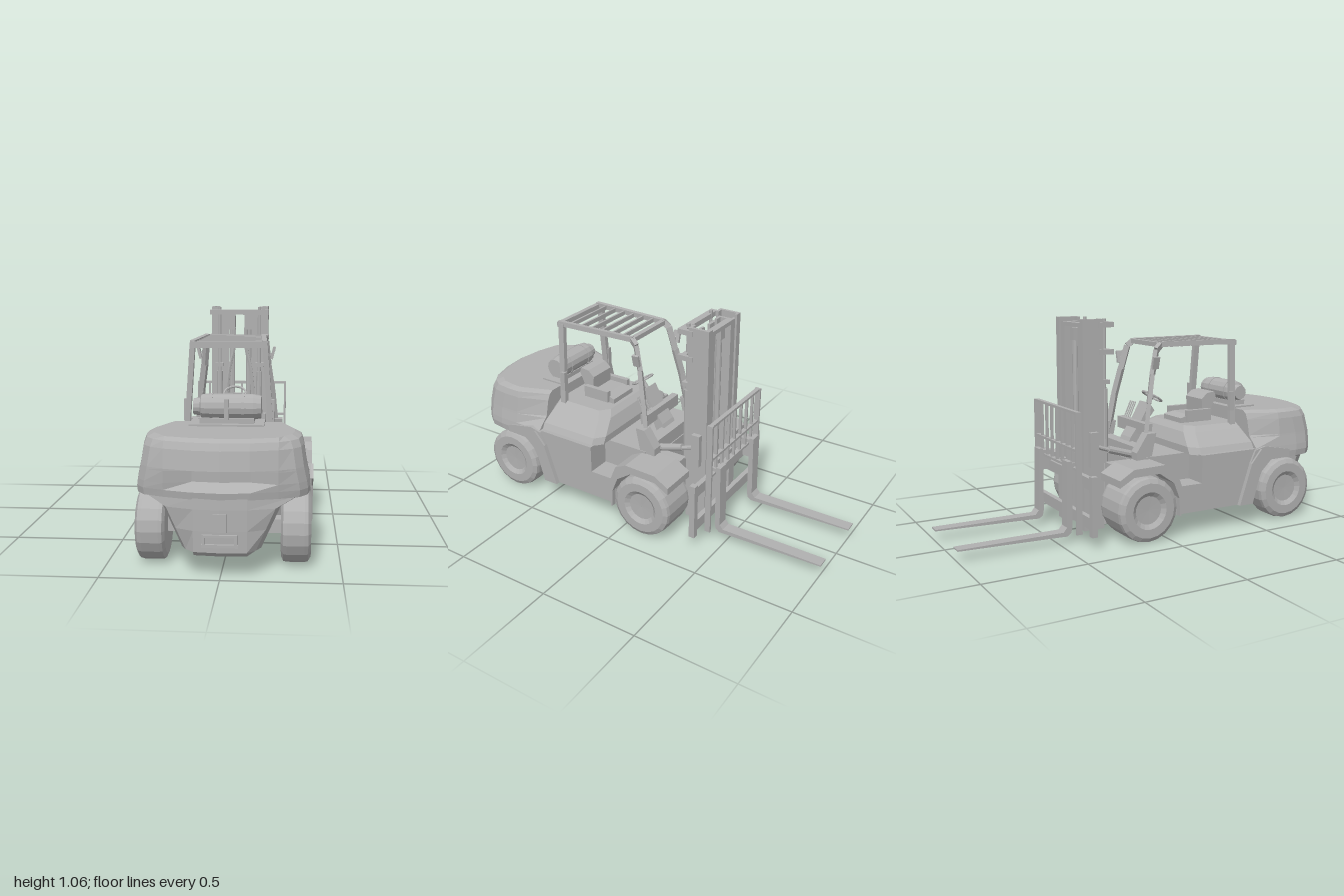
import * as THREE from 'three';

export function createModel() {
  const model = new THREE.Group();
  const grey = new THREE.MeshStandardMaterial({ color: 0xb0b0b0 });
  grey.name = 'plain grey';
  const V = (p) => new THREE.Vector3(...p);

  // Every part is faceted
  function add(name, geometry) {
    const g = geometry.index ? geometry.toNonIndexed() : geometry;
    g.computeVertexNormals();
    const mesh = new THREE.Mesh(g, grey);
    mesh.name = name;
    model.add(mesh);
    return mesh;
  }
  // Box given by its limits; x limits may come in either order
  function box(name, x0, x1, y0, y1, z0, z1) {
    const g = new THREE.BoxGeometry(Math.abs(x1 - x0), y1 - y0, Math.abs(z1 - z0));
    return add(name, g.translate((x0 + x1) / 2, (y0 + y1) / 2, (z0 + z1) / 2));
  }
  // Square bar or round rod between two points
  function between(name, a, b, geometryOf) {
    const p = V(a), q = V(b), d = q.clone().sub(p);
    const mesh = add(name, geometryOf(d.length()));
    mesh.position.copy(p).add(q).multiplyScalar(0.5);
    mesh.quaternion.setFromUnitVectors(new THREE.Vector3(0, 1, 0), d.normalize());
  }
  const bar = (name, a, b, w, d = w) => between(name, a, b, (l) => new THREE.BoxGeometry(w, l, d));
  const rod = (name, a, b, r, n = 10) => between(name, a, b, (l) => new THREE.CylinderGeometry(r, r, l, n));
  // Side profile of [z, y] points, extruded from x0 to x1
  function profile(name, pts, x0, x1) {
    const shape = new THREE.Shape(pts.map((p) => new THREE.Vector2(...p)));
    const g = new THREE.ExtrudeGeometry(shape, { depth: Math.abs(x1 - x0), bevelEnabled: false });
    return add(name, g.rotateY(-Math.PI / 2).translate(Math.max(x0, x1), 0, 0));
  }
  // Loft through levels { y, half }, half = [x, z] points from the back centre along +x
  function loft(name, levels) {
    const rings = levels.map(({ y, half }) => {
      const left = half.filter((p) => p[0] > 0).reverse().map(([x, z]) => [-x, z]);
      return [...half, ...left].map(([x, z]) => [x, y, z]);
    });
    const n = rings[0].length, pos = [];
    const tri = (a, b, c) => pos.push(...a, ...b, ...c);
    const centre = (r) => [0, r[0][1], (r[0][2] + r[(n - 1) >> 1][2]) / 2];
    const top = rings[rings.length - 1], low = rings[0];
    for (let j = 0; j < n; j++) {
      const k = (j + 1) % n;
      for (let i = 0; i + 1 < rings.length; i++) {
        const r = rings[i], s = rings[i + 1];
        tri(r[j], r[k], s[k]);
        tri(r[j], s[k], s[j]);
      }
      tri(centre(top), top[j], top[k]);
      tri(centre(low), low[k], low[j]);
    }
    const g = new THREE.BufferGeometry();
    g.setAttribute('position', new THREE.Float32BufferAttribute(pos, 3));
    return add(name, g);
  }
  const both = (fn) => [1, -1].forEach(fn);

  // Counterweight with a hand slot; each level is y, half width, back z, slot depth, front half width
  const cw = [[.33, .366, .985, 0, .366], [.36, .368, .99, 0, .368], [.39, .363, .993, .065, .363],
    [.44, .352, .995, .065, .31], [.45, .35, .995, 0, .3], [.53, .338, .98, 0, .28], [.56, .328, .965, 0, .265],
    [.574, .3, .94, 0, .24]];
  loft('counterweight', cw.map(([y, w, b, cut, front]) => ({
    y,
    half: [[0, b - cut], [.12, b - .012 - cut], [.235, b - .045], [w - .045, b - .08],
      [w - .012, b - .125], [w, b - .2], [w, .69], [front, .53]],
  })));
  // Lower back, narrowing between the rear wheels
  const skirt = [[.09, .13, .965], [.11, .165, .985], [.2, .205, .988], [.29, .245, .988], [.335, .33, .985]];
  loft('counterweightSkirt', skirt.map(([y, w, b]) => ({
    y, half: [[0, b], [.11, b - .01], [w - .02, b - .045 - (w > .3 ? .03 : 0)], [w, w > .3 ? .87 : .9]],
  })));
  box('hitchPlate', -.028, .028, .2, .275, .97, .995);
  box('hitchLowerLip', -.075, .075, .135, .148, .96, .996);
  box('hitchUpperLip', -.06, .06, .178, .188, .96, .996);
  both((s) => box('hitchCheek', s * .06, s * .072, .14, .188, .95, .994));

  // Chassis, steps and floor
  box('rearFrame', -.17, .17, .13, .4, .4, .9);
  box('chassis', -.36, .36, .11, .25, .05, .48);
  box('chassisSide', -.36, .36, .25, .39, .2, .55);
  box('floor', -.24, .24, .25, .385, -.05, .21);
  box('frontFrame', -.18, .18, .11, .36, -.09, .06);
  both((s) => box('frontFrameArm', s * .13, s * .185, .11, .36, -.22, -.09));
  box('rearAxle', -.26, .26, .13, .19, .69, .76);

  // Engine hood
  const hoodLevel = (y, w, b, f) => ({ y, half: [[0, b], [w - .04, b], [w, b - .03], [w, f + .04], [w - .05, f]] });
  loft('hood', [hoodLevel(.385, .34, .56, .17), hoodLevel(.42, .32, .56, .17),
    hoodLevel(.48, .235, .55, .2), hoodLevel(.505, .19, .55, .23)]);

  // Fenders and wheels; the driven front wheels are wider
  const wheelProfile = (w) => [[.001, -w], [.135, -w], [.157, .01 - w], [.16, .025 - w], [.16, w - .028],
    [.156, w - .012], [.135, w], [.092, w], [.07, w - .016], [.001, w - .018]].map((p) => new THREE.Vector2(...p));
  both((s) => {
    profile('rearFender', [[.74, .33], [.74, .37], [.58, .4], [.52, .385], [.49, .32], [.42, .11], [.5, .11],
      [.56, .27], [.62, .327]], s * .17, s * .372);
    profile('frontFender', [[.065, .11], [.065, .26], [.03, .345], [-.03, .375], [-.2, .37], [-.275, .325],
      [-.275, .29], [-.2, .332], [-.06, .335], [.02, .28], [.052, .2], [.055, .11]], s * .19, s * .387);
    profile('fenderFlare', [[.5, .11], [.42, .11], [.49, .32], [.55, .39], [.62, .34], [.55, .29]], s * .35, s * .383);
    for (const [name, x0, x1, z] of [['rearWheel', .245, .372, .725], ['frontWheel', .175, .39, -.115]]) {
      const g = new THREE.LatheGeometry(wheelProfile((x1 - x0) / 2), 20);
      add(name, g.rotateZ(-s * Math.PI / 2).translate(s * (x0 + x1) / 2, .16, z));
    }
  });

  // Overhead guard
  both((s) => {
    bar('guardRearPost', [s * .2, .4, .49], [s * .162, .925, .505], .024, .032);
    bar('guardSideRail', [s * .162, .925, .525], [s * .14, .925, .085], .022, .025);
    const path = [[.14, .925, .09], [.148, .9, .06], [.16, .78, .03], [.18, .64, 0], [.2, .42, -.035]];
    for (let i = 0; i + 1 < path.length; i++) {
      const at = ([x, y, z]) => [s * x, y, z];
      bar('guardFrontPost', at(path[i]), at(path[i + 1]), .022, .03);
    }
    profile('pillarFoot', [[-.02, .36], [.01, .5], [-.04, .5], [-.1, .41], [-.1, .36]], s * .18, s * .235);
    bar('mirrorArm', [s * .155, .82, .04], [s * .185, .84, .04], .01);
    bar('mirror', [s * .178, .81, .035], [s * .193, .87, .035], .014, .035);
    box('postBracket', s * .18, s * .205, .57, .67, .475, .5);
  });
  box('guardRearBeam', -.172, .172, .905, .932, .505, .53);
  box('guardFrontBeam', -.145, .145, .912, .935, .075, .1);
  for (let i = 0; i < 6; i++) {
    const z = .15 + i * .062;
    bar('guardSlat', [-.15, .922, z], [.15, .922, z], .022, .01);
  }

  // Gas tank on its cradle
  const tank = [[.001, -.15], [.036, -.15], [.04, -.12], [.053, -.115], [.057, -.095], [.057, .115], [.05, .15],
    [.001, .15]].map((p) => new THREE.Vector2(...p));
  add('gasTank', new THREE.LatheGeometry(tank, 14).rotateZ(-Math.PI / 2).translate(0, .65, .58));
  for (const x of [-.07, .07]) {
    add('tankStrap', new THREE.CylinderGeometry(.06, .06, .012, 14).rotateZ(Math.PI / 2).translate(x, .65, .58));
  }
  box('tankClasp', -.01, .01, .6, .69, .62, .642);
  box('tankCradle', -.12, .12, .58, .605, .54, .63);
  box('tankBase', -.165, .165, .565, .582, .5, .66);

  // Seat
  profile('seatCushion', [[.44, .5], [.44, .545], [.3, .545], [.25, .53], [.25, .5]], -.085, .085);
  profile('seatBack', [[.43, .53], [.475, .63], [.465, .655], [.42, .65], [.385, .62], [.39, .54]], -.075, .075);
  both((s) => box('seatBolster', s * .075, s * .1, .51, .57, .28, .43));

  // Dash, steering and levers
  profile('dash', [[.06, .52], [.11, .58], [.08, .62], [.03, .53], [-.03, .45], [-.06, .385], [0, .385]], -.05, .05);
  box('cowl', -.19, .19, .36, .43, -.085, -.02);
  bar('dashPanel', [-.15, .5, .02], [.15, .5, .02], .06, .035);
  rod('steeringColumn', [0, .5, .03], [0, .645, .125], .01);
  const wheel = add('steeringWheel', new THREE.TorusGeometry(.055, .006, 6, 16).rotateX(Math.PI / 2));
  wheel.position.set(0, .645, .125);
  wheel.rotation.x = .55;
  bar('steeringSpoke', [-.053, .645, .125], [.053, .645, .125], .008);
  for (let i = 0; i < 4; i++) rod('lever', [.075 + i * .018, .5, .02], [.075 + i * .018, .61, .07], .004, 6);
  both((s) => bar('pedal', [s * .05, .39, .08], [s * .05, .42, .05], .03, .008));

  // Mast: outer and inner channels, lift cylinders, hoses and tilt cylinders
  both((s) => {
    box('outerWeb', s * .135, s * .15, .03, 1.06, -.345, -.235);
    box('outerFlange', s * .105, s * .15, .03, 1.06, -.25, -.235);
    box('outerFlange', s * .115, s * .15, .03, 1.06, -.345, -.332);
    box('innerWeb', s * .092, s * .105, .05, 1.04, -.335, -.255);
    box('innerFlange', s * .06, s * .105, .05, 1.04, -.268, -.255);
    box('innerFlange', s * .075, s * .125, .05, 1.04, -.335, -.322);
    rod('liftCylinder', [s * .105, .04, -.208], [s * .105, .72, -.208], .016);
    rod('liftRod', [s * .105, .7, -.208], [s * .105, 1.06, -.208], .009);
    box('cylinderClamp', s * .085, s * .13, .745, .765, -.235, -.19);
    rod('carriageCylinder', [s * .045, .1, -.29], [s * .045, .98, -.29], .015);
    box('chainHead', s * .025, s * .065, .95, 1.01, -.31, -.27);
    const hose = [[.03, .95], [.032, .84], [.055, .74], [.07, .6], [.07, .3]].map(([x, y]) => V([s * x, y, -.25]));
    add('hose', new THREE.TubeGeometry(new THREE.CatmullRomCurve3(hose), 14, .01, 6));
    box('mastBracket', s * .15, s * .175, .35, .52, -.32, -.275);
    rod('tiltCylinder', [s * .165, .38, -.05], [s * .165, .43, -.22], .018);
    rod('tiltRod', [s * .165, .42, -.2], [s * .165, .455, -.3], .01);
    box('crossbarArm', s * .135, s * .155, 1.02, 1.045, -.26, -.18);
    box('crossbarArm', s * .135, s * .155, .89, .915, -.26, -.18);
    box('topPlate', s * .025, s * .135, .94, 1.02, -.25, -.235);
  });
  box('topCrossbar', -.155, .155, 1.02, 1.045, -.215, -.18);
  box('midCrossbar', -.155, .155, .89, .915, -.215, -.19);
  box('mastTopTie', -.1, .1, 1.02, 1.04, -.335, -.3);
  box('mastLowerTie', -.15, .15, .36, .42, -.25, -.225);
  box('mastFoot', -.15, .15, .04, .13, -.26, -.235);

  // Carriage and load backrest
  for (const y of [.09, .28]) box('carriageBar', -.335, .335, y, y + .055, -.395, -.37);
  both((s) => {
    box('carriageUpright', s * .045, s * .075, .07, .36, -.372, -.34);
    box('carriageEnd', s * .305, s * .335, .055, .345, -.395, -.365);
    box('backrestPost', s * .235, s * .246, .05, .64, -.432, -.402);
  });
  for (const y of [.36, .45, .628]) box('backrestRail', -.245, .245, y, y + .012, -.428, -.406);
  for (let i = 0; i < 7; i++) {
    const x = -.18 + i * .06;
    box('backrestBar', x - .005, x + .005, .36, .63, -.424, -.41);
  }

  // Forks
  both((s) => {
    profile('fork', [[-.432, .4], [-.455, .4], [-.462, .08], [-.48, .058], [-1, .058], [-1, .051], [-.6, .04],
      [-.46, .036], [-.44, .05], [-.434, .08]], s * .14, s * .2);
    box('forkHook', s * .145, s * .195, .29, .39, -.435, -.38);
  });
  return model;
}
